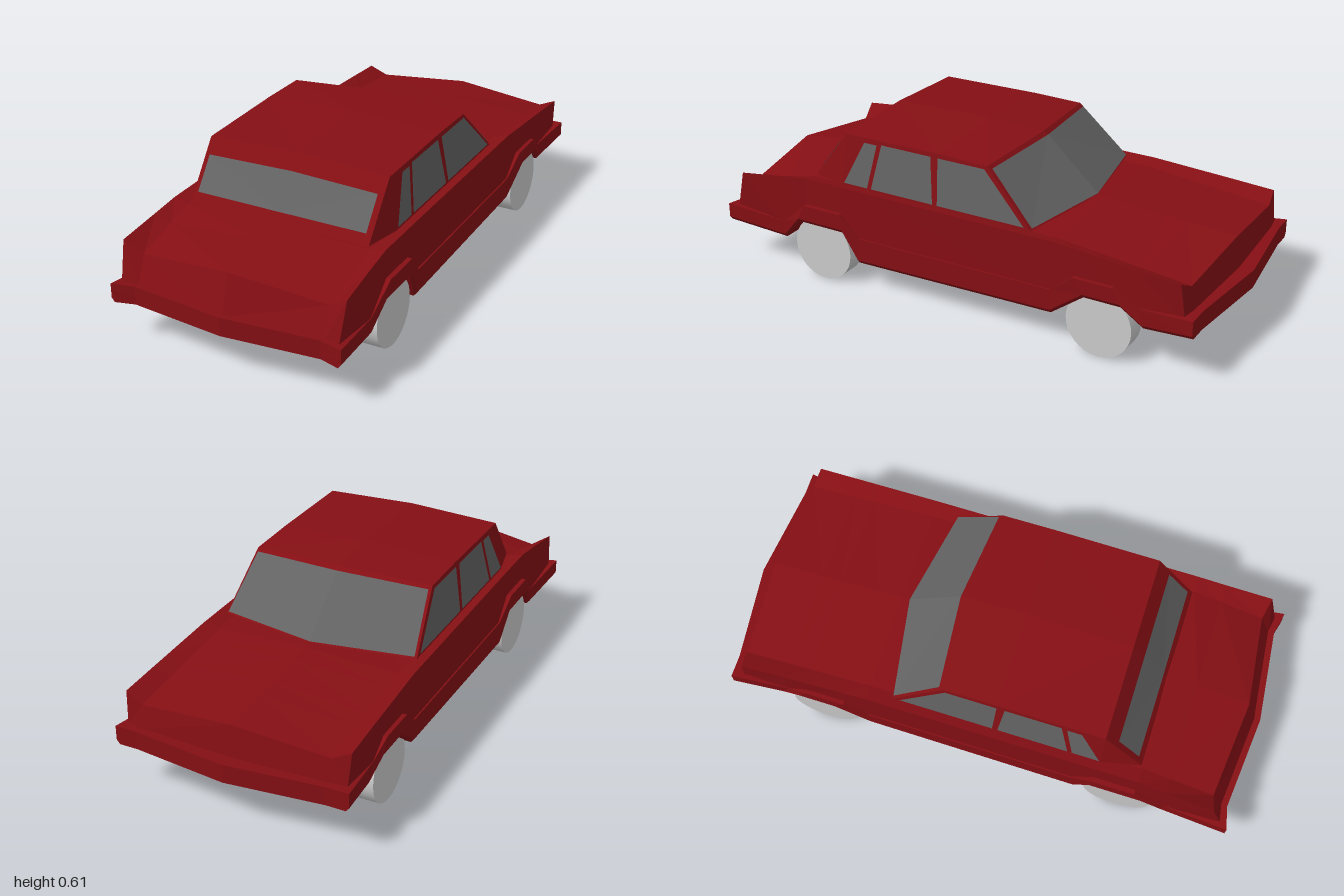
import * as THREE from 'three';

const paint = new THREE.MeshStandardMaterial({ color: 0x850f14, flatShading: true, side: THREE.DoubleSide });
const glass = new THREE.MeshStandardMaterial({ color: 0x636363, flatShading: true, side: THREE.DoubleSide });
const grey = new THREE.MeshStandardMaterial({ color: 0xcccccc });

// Skins rows of [x, y, z] points on the +x half and mirrors them to -x
function mirroredSkin(name, rows, material) {
  const out = [];
  const tri = (...pts) => {
    const [a, b, c] = pts.map((p) => new THREE.Vector3(...p));
    if (b.clone().sub(a).cross(c.clone().sub(a)).length() < 1e-7) return;
    out.push(...pts.flat());
    for (const p of [pts[0], pts[2], pts[1]]) out.push(-p[0], p[1], p[2]);
  };
  for (let i = 0; i < rows.length - 1; i++) {
    for (let j = 0; j < rows[i].length - 1; j++) {
      const a = rows[i][j], b = rows[i][j + 1], c = rows[i + 1][j], d = rows[i + 1][j + 1];
      tri(a, c, b);
      tri(b, c, d);
    }
  }
  const geometry = new THREE.BufferGeometry();
  geometry.setAttribute('position', new THREE.Float32BufferAttribute(out, 3));
  geometry.computeVertexNormals();
  const mesh = new THREE.Mesh(geometry, material);
  mesh.name = name;
  return mesh;
}

// Stations along the car: [z bottom, y bottom, z top, y top, half width]
const stations = [
  [-0.96, 0.18, -0.96, 0.25, 0.445],
  [-0.77, 0.155, -0.74, 0.232, 0.422],
  [-0.69, 0.22, -0.66, 0.29, 0.436],
  [-0.55, 0.22, -0.51, 0.29, 0.436],
  [-0.42, 0.12, -0.42, 0.215, 0.425],
  [0.39, 0.105, 0.38, 0.21, 0.425],
  [0.45, 0.22, 0.46, 0.295, 0.438],
  [0.65, 0.22, 0.62, 0.295, 0.438],
  [0.73, 0.13, 0.73, 0.2, 0.422],
  [0.98, 0.155, 0.98, 0.225, 0.445],
];

// Bumpers, wheel arches, sills and floor in one band
function lowerBody() {
  const last = stations.length - 1;
  const rows = stations.map(([zb, yb, zt, yt, x], i) => {
    const bow = i === 0 ? [-0.04, 0] : i === last ? [0.015, -0.02] : [0, 0];
    return [
      [0, yt, zt + bow[0]], [0.36, yt, zt + bow[1]], [x, yt, zt],
      [x, yb + 0.015, zb], [x - 0.012, yb, zb], [0.36, yb, zb + bow[1]], [0, yb, zb + bow[0]],
    ];
  });
  const cap = (row, y) => row.map(([x, , z]) => [x, y, z]);
  return mirroredSkin('lowerBody', [cap(rows[0], 0.215), ...rows, cap(rows[last], 0.19)], paint);
}

// Wings, bonnet and boot lid, with a raised crease along each wing
function upperBody() {
  const section = (z, yLow) => {
    const t = z < -0.38 ? (-0.38 - z) / 0.54 : z > 0.62 ? (z - 0.62) / 0.3 : 0;
    const deckDrop = z < 0 ? 0.055 : 0.065;
    return [
      [0, 0.4 - 0.037 * t, z], [0.36, 0.387 - deckDrop * t, z],
      [0.418 + 0.01 * t, 0.4 - 0.035 * t, z], [0.42, yLow, z],
    ];
  };
  const rows = [
    [[0, 0.245, -0.945], [0.36, 0.245, -0.93], [0.42, 0.245, -0.92], [0.42, 0.22, -0.92]],
    [[0, 0.364, -0.93], [0.36, 0.332, -0.915], [0.428, 0.365, -0.905], [0.42, 0.22, -0.92]],
  ];
  for (const [, , z, y] of stations.slice(1, -1)) rows.push(section(z, y - 0.03));
  rows.push(
    [[0, 0.362, 0.93], [0.36, 0.32, 0.895], [0.43, 0.365, 0.91], [0.42, 0.19, 0.955]],
    [[0, 0.215, 0.975], [0.36, 0.215, 0.94], [0.42, 0.215, 0.95], [0.42, 0.19, 0.955]],
  );
  return mirroredSkin('upperBody', rows, paint);
}

// Roof with its pillars
function cabin() {
  return mirroredSkin('cabin', [
    [[0, 0.395, -0.385], [0.384, 0.395, -0.32], [0.384, 0.395, -0.32]],
    [[0, 0.602, -0.16], [0.354, 0.588, -0.13], [0.384, 0.395, -0.32]],
    [[0, 0.61, 0.07], [0.354, 0.592, 0.07], [0.384, 0.395, 0.07]],
    [[0, 0.602, 0.468], [0.354, 0.588, 0.468], [0.384, 0.395, 0.47]],
    [[0, 0.395, 0.615], [0.352, 0.395, 0.615], [0.384, 0.395, 0.47]],
  ], paint);
}

// Side pane from the z of its front and rear edges, at top and bottom
function sidePane(name, topFront, topRear, bottomFront, bottomRear, yTop) {
  const at = (y, z) => [0.387 - (y - 0.4) * 0.158, y, z];
  return mirroredSkin(name, [
    [at(yTop, topFront), at(0.405, bottomFront)],
    [at(yTop, topRear), at(0.405, bottomRear)],
  ], glass);
}

function windows() {
  const group = new THREE.Group();
  group.name = 'windows';
  group.add(
    mirroredSkin('windscreen', [
      [[0, 0.404, -0.388], [0.376, 0.404, -0.322]],
      [[0, 0.592, -0.18], [0.346, 0.58, -0.147]],
    ], glass),
    mirroredSkin('rearWindow', [
      [[0, 0.55, 0.514], [0.333, 0.54, 0.514]],
      [[0, 0.43, 0.598], [0.333, 0.43, 0.597]],
    ], glass),
    sidePane('frontDoorWindow', -0.122, 0.07, -0.295, 0.06, 0.577),
    sidePane('rearDoorWindow', 0.1, 0.31, 0.08, 0.345, 0.577),
    sidePane('quarterWindow', 0.33, 0.385, 0.362, 0.465, 0.572),
  );
  return group;
}

function wheels() {
  const group = new THREE.Group();
  group.name = 'wheels';
  const geometry = new THREE.CylinderGeometry(0.125, 0.125, 0.08, 32).rotateZ(Math.PI / 2);
  for (const [end, z] of [['front', -0.605], ['rear', 0.555]]) {
    for (const side of [-1, 1]) {
      const wheel = new THREE.Mesh(geometry, grey);
      wheel.name = end + (side > 0 ? 'LeftWheel' : 'RightWheel');
      wheel.position.set(side * 0.377, 0.125, z);
      group.add(wheel);
    }
  }
  return group;
}

export function createModel() {
  const car = new THREE.Group();
  car.name = 'saloonCar';
  car.add(lowerBody(), upperBody(), cabin(), windows(), wheels());
  return car;
}
